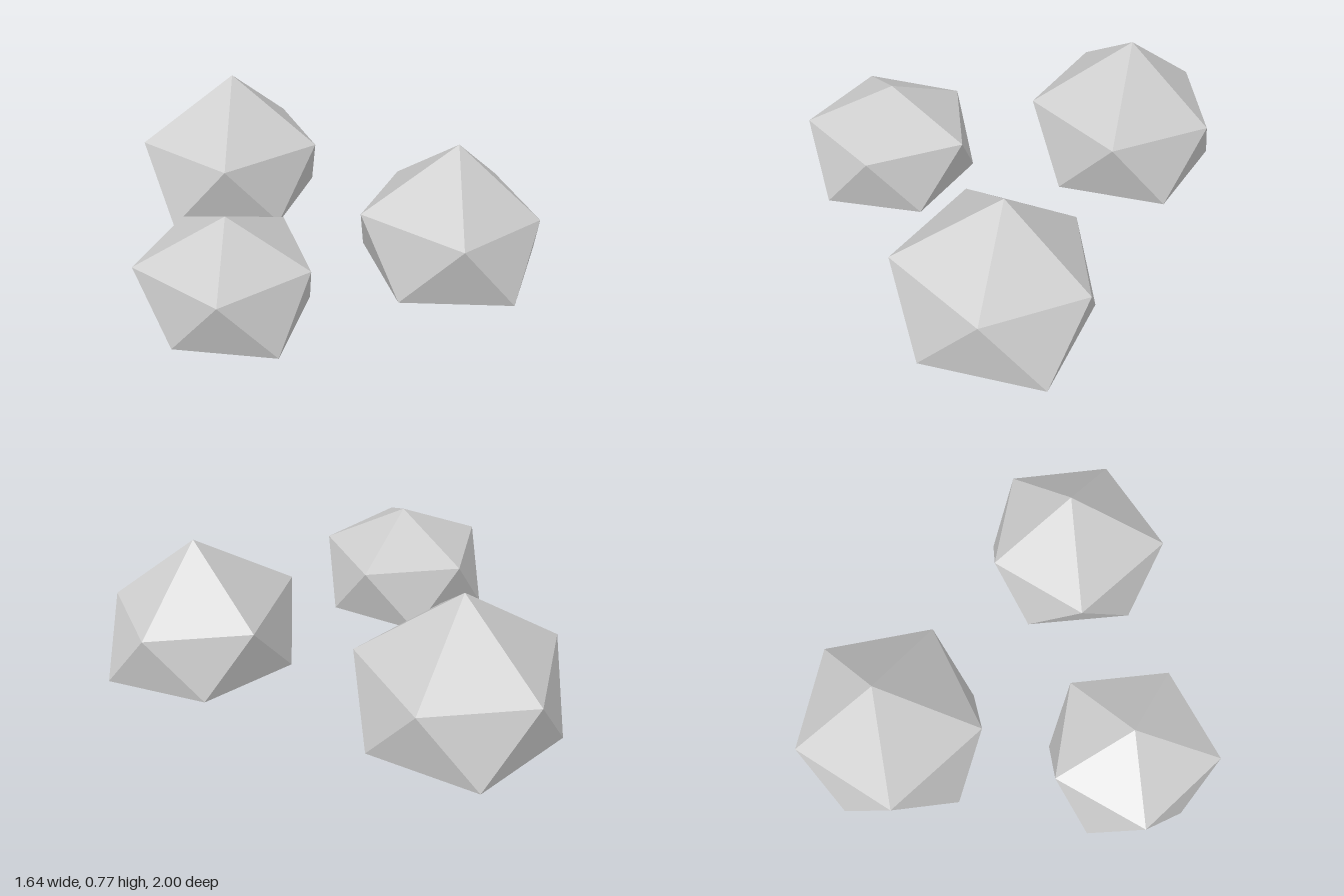
import * as THREE from 'three';

// Each rock is an uneven icosahedron: tip, five upper corners, five lower corners, foot.
// Both rings run clockwise seen from above, the lower corners sitting between the upper ones.
const ROCKS = [
  {
    name: 'largeRock',
    tip: [0.357, 0.768, -0.602],
    upper: [[0, 0.467, -0.865], [0.485, 0.453, -0.985], [0.755, 0.452, -0.602], [0.49, 0.468, -0.197], [0, 0.467, -0.35]],
    lower: [[0.225, 0.147, -1], [0.69, 0.147, -0.845], [0.69, 0.15, -0.36], [0.23, 0.15, -0.215], [-0.095, 0.136, -0.602]],
    foot: [0.357, 0, -0.602],
  },
  {
    name: 'mediumRock',
    tip: [0.437, 0.732, 0.597],
    upper: [[0.093, 0.455, 0.34], [0.553, 0.437, 0.233], [0.817, 0.438, 0.597], [0.553, 0.437, 0.953], [0.083, 0.464, 0.85]],
    lower: [[0.315, 0.157, 0.215], [0.733, 0.163, 0.375], [0.786, 0.145, 0.846], [0.304, 0.147, 0.996], [0.021, 0.147, 0.597]],
    foot: [0.437, 0.023, 0.597],
  },
  {
    name: 'smallRock',
    tip: [-0.479, 0.613, 0.076],
    upper: [[-0.786, 0.44, -0.15], [-0.368, 0.435, -0.27], [-0.105, 0.438, 0.076], [-0.368, 0.435, 0.422], [-0.792, 0.44, 0.3]],
    lower: [[-0.595, 0.153, -0.288], [-0.192, 0.162, -0.135], [-0.192, 0.162, 0.288], [-0.595, 0.153, 0.438], [-0.82, 0.163, 0.076]],
    foot: [-0.479, 0.047, 0.076],
  },
];

function makeRock({ name, tip, upper, lower, foot }, material) {
  const points = [];
  for (let i = 0; i < 5; i++) {
    const j = (i + 1) % 5;
    points.push(
      tip, upper[j], upper[i],      // cap
      upper[i], upper[j], lower[i], // side, pointing down
      lower[i], upper[j], lower[j], // side, pointing up
      foot, lower[i], lower[j],     // underside
    );
  }
  const geometry = new THREE.BufferGeometry();
  geometry.setAttribute('position', new THREE.Float32BufferAttribute(points.flat(), 3));
  geometry.computeVertexNormals();
  const rock = new THREE.Mesh(geometry, material);
  rock.name = name;
  return rock;
}

export function createModel() {
  const group = new THREE.Group();
  group.name = 'rocks';
  const material = new THREE.MeshStandardMaterial({ color: 0xcccccc, flatShading: true });
  for (const rock of ROCKS) group.add(makeRock(rock, material));
  return group;
}
